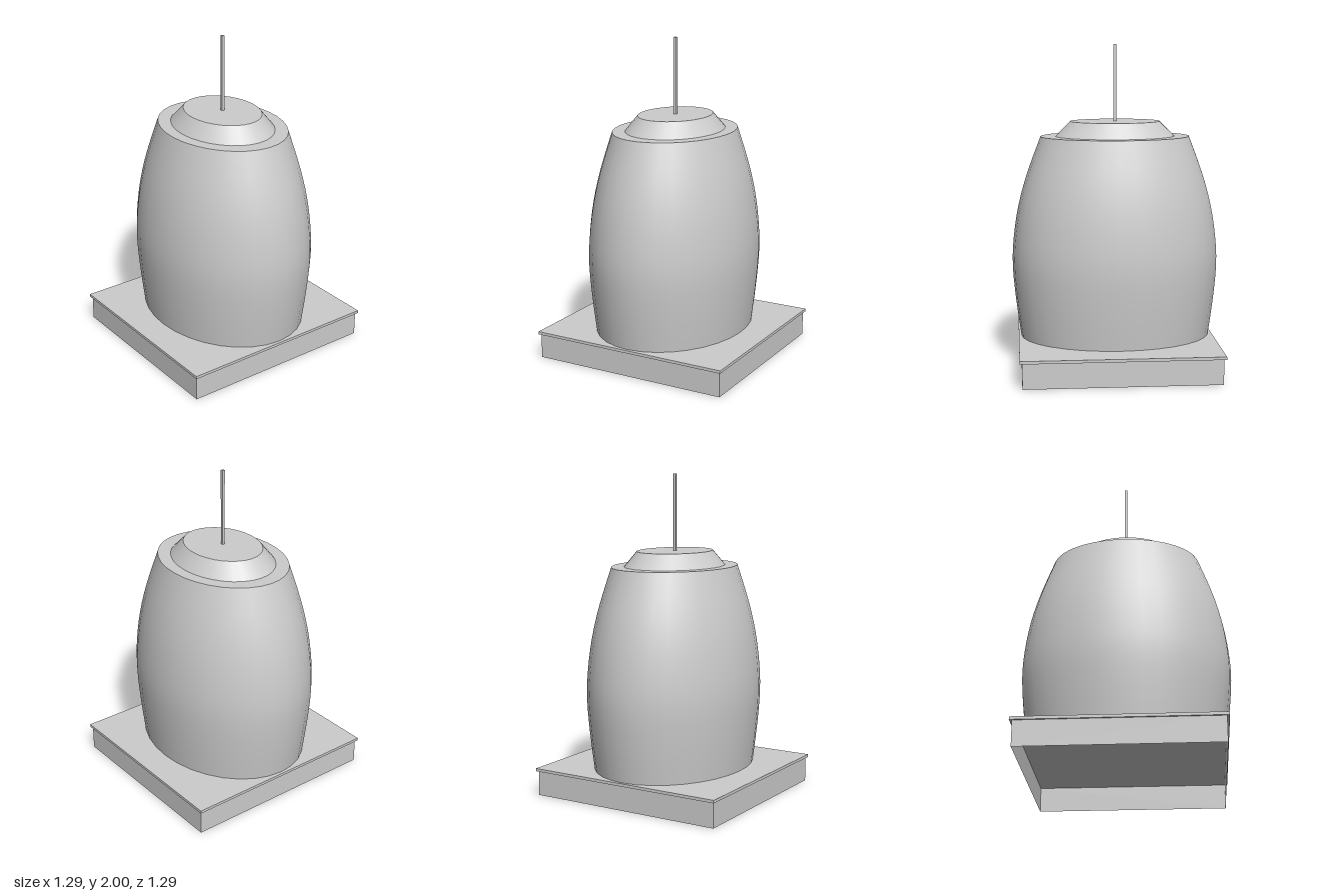
import * as THREE from 'three';

const DEPTH = 0.782; // depth of the oval sections relative to their width
const SIDES = 32;

export function createModel() {
  const model = new THREE.Group();
  const grey = new THREE.MeshStandardMaterial({ color: 0xcccccc, side: THREE.DoubleSide });
  grey.name = 'light grey';

  function add(name, geometry, x = 0, y = 0, z = 0) {
    const mesh = new THREE.Mesh(geometry, grey);
    mesh.name = name;
    mesh.position.set(x, y, z);
    model.add(mesh);
    return mesh;
  }

  // Oval surface turned from a profile of points running upwards or inwards
  function oval(name, points) {
    const geometry = new THREE.LatheGeometry(points, SIDES);
    geometry.scale(1, 1, DEPTH);
    return add(name, geometry);
  }
  const v = (r, y) => new THREE.Vector2(r, y);

  // Plinth: thin skirt walls, open underneath, below an overhanging slab
  const halfX = 0.597, halfZ = 0.634, skirt = 0.155;
  for (const side of [-1, 1]) {
    const across = new THREE.PlaneGeometry(halfX * 2, skirt);
    if (side < 0) across.rotateY(Math.PI);
    add(side > 0 ? 'frontSkirt' : 'backSkirt', across, 0, skirt / 2, side * halfZ);

    const along = new THREE.PlaneGeometry(halfZ * 2, skirt).rotateY(side * Math.PI / 2);
    add(side > 0 ? 'leftSkirt' : 'rightSkirt', along, side * halfX, skirt / 2, 0);
  }
  add('baseSlab', new THREE.BoxGeometry(1.224, 0.018, 1.29), 0, 0.164, 0);

  // Bulging oval body
  const bulge = new THREE.SplineCurve([
    v(0.595, 0.172), v(0.626, 0.4), v(0.645, 0.62), v(0.637, 0.8),
    v(0.606, 1.0), v(0.551, 1.2), v(0.465, 1.432),
  ]);
  oval('body', bulge.getPoints(18));
  oval('bodyTop', [v(0.465, 1.432), v(0, 1.432)]);

  // Sloped cap with a flat top
  oval('capSlope', [v(0.372, 1.432), v(0.28, 1.525)]);
  oval('capTop', [v(0.28, 1.525), v(0, 1.525)]);

  // Slim square mast
  add('mast', new THREE.BoxGeometry(0.017, 0.475, 0.017), 0, 1.7625, 0);

  return model;
}
